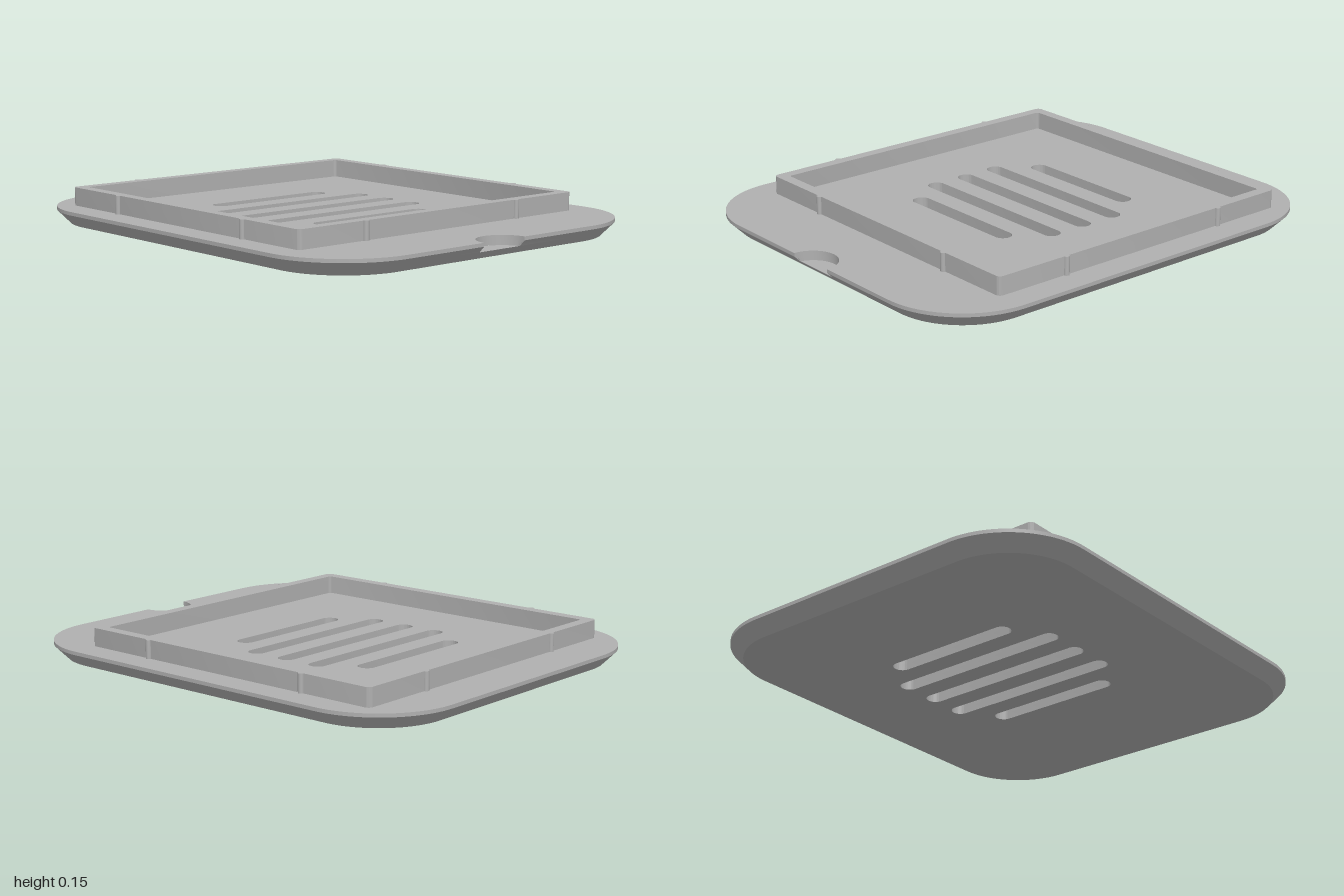
import * as THREE from 'three';
import { toCreasedNormals } from 'three/addons/utils/BufferGeometryUtils.js';

const HX = 0.855, HZ = 1, R = 0.355;      // plate half sizes and corner radius
const Y_NOTCH = 0.03, Y_EDGE = 0.055, Y_TOP = 0.07, Y_FRAME = 0.147;
const NOTCH = 0.11;
const FRAME_Z = -0.067, FRAME_OUT = 0.738, FRAME_IN = 0.691;

// Rounded rectangle; shapes are drawn with y = -z. Optional notch in the front edge.
function roundedRect(target, hx, hy, r, cy = 0, notch = 0) {
  const b = cy - hy, t = cy + hy;
  target.moveTo(-hx + r, b);
  if (notch) {
    target.lineTo(-notch, b);
    target.absarc(0, b, notch, Math.PI, 0, true);
  }
  target.lineTo(hx - r, b);
  target.absarc(hx - r, b + r, r, -Math.PI / 2, 0, false);
  target.lineTo(hx, t - r);
  target.absarc(hx - r, t - r, r, 0, Math.PI / 2, false);
  target.lineTo(-hx + r, t);
  target.absarc(-hx + r, t - r, r, Math.PI / 2, Math.PI, false);
  target.lineTo(-hx, b + r);
  target.absarc(-hx + r, b + r, r, Math.PI, Math.PI * 1.5, false);
  return target;
}

// Plate outline with the five drain slots
function plateShape(notch) {
  const shape = roundedRect(new THREE.Shape(), HX, HZ, R, 0, notch);
  [[-0.397, 0.3], [-0.234, 0.407], [-0.071, 0.407], [0.092, 0.407], [0.255, 0.3]].forEach(([z, hx]) =>
    shape.holes.push(roundedRect(new THREE.Path(), hx, 0.037, 0.0365, -z)));
  return shape;
}

// Extrude upwards through the given heights, dropping the hidden cap at y = open
function layer(shape, heights, open) {
  const steps = heights.length - 1;
  const geo = new THREE.ExtrudeGeometry(shape, { depth: steps, steps, bevelEnabled: false, curveSegments: 16 });
  geo.rotateX(-Math.PI / 2);
  const p = geo.attributes.position, kept = [];
  for (let i = 0; i < p.count; i++) p.setY(i, heights[Math.round(p.getY(i))]);
  for (let i = 0; i < p.count; i += 3) {
    const tri = [i, i + 1, i + 2];
    if (tri.every(j => Math.abs(p.getY(j) - open) < 1e-5)) continue;
    tri.forEach(j => kept.push(p.getX(j), p.getY(j), p.getZ(j)));
  }
  const out = new THREE.BufferGeometry();
  out.setAttribute('position', new THREE.Float32BufferAttribute(kept, 3));
  return out;
}

// Chamfer: below the edge band, pull the rim inwards at 45 degrees
function chamfer(geo) {
  const p = geo.attributes.position;
  for (let i = 0; i < p.count; i++) {
    const x = p.getX(i), z = p.getZ(i);
    const cx = THREE.MathUtils.clamp(x, R - HX, HX - R), cz = THREE.MathUtils.clamp(z, R - HZ, HZ - R);
    const d = Math.hypot(x - cx, z - cz), max = R - Math.max(0, Y_EDGE - p.getY(i));
    if (d > max) {
      p.setX(i, cx + (x - cx) * max / d);
      p.setZ(i, cz + (z - cz) * max / d);
    }
  }
  return geo;
}

function smooth(geo) {
  geo.computeVertexNormals();
  return toCreasedNormals(geo, Math.PI / 7);
}

export function createModel() {
  const model = new THREE.Group();
  model.name = 'drainTray';
  const grey = new THREE.MeshStandardMaterial({ color: 0xb0b0b0 });
  grey.name = 'grey';
  const add = (name, geo, parent = model) => {
    const mesh = new THREE.Mesh(geo, grey);
    mesh.name = name;
    parent.add(mesh);
    return mesh;
  };

  // Plate: lower layer is whole, upper layer carries the finger notch
  add('plateBase', smooth(chamfer(layer(plateShape(0), [0, Y_NOTCH], Y_NOTCH))));
  add('plateTop', smooth(chamfer(layer(plateShape(NOTCH), [Y_NOTCH, Y_EDGE, Y_TOP], Y_NOTCH))));

  // Notch floor, cut off where it meets the chamfer
  const cut = Y_EDGE - Y_NOTCH, a = Math.asin(cut / NOTCH);
  const floorShape = new THREE.Shape();
  floorShape.absarc(0, -HZ, NOTCH, a, Math.PI - a, false);
  const floor = new THREE.ShapeGeometry(floorShape, 16);
  floor.rotateX(-Math.PI / 2).translate(0, Y_NOTCH, 0);
  add('notchFloor', floor);

  // Raised square frame
  const frame = roundedRect(new THREE.Shape(), FRAME_OUT, FRAME_OUT, 0.02, -FRAME_Z);
  frame.holes.push(roundedRect(new THREE.Path(), FRAME_IN, FRAME_IN, 0.012, -FRAME_Z));
  add('frame', smooth(layer(frame, [Y_TOP, Y_FRAME], Y_TOP)));

  // Small snap ribs, two on each side of the frame
  const ribs = new THREE.Group();
  ribs.name = 'snapRibs';
  model.add(ribs);
  const h = Y_FRAME - Y_TOP;
  const ribGeo = new THREE.CylinderGeometry(0.012, 0.012, h, 16);
  for (const s of [-1, 1]) for (const t of [-0.407, 0.407]) {
    const y = Y_TOP + h / 2;
    add('rib', ribGeo, ribs).position.set(t, y, FRAME_Z + s * FRAME_OUT);
    add('rib', ribGeo, ribs).position.set(s * FRAME_OUT, y, FRAME_Z + t);
  }
  return model;
}
